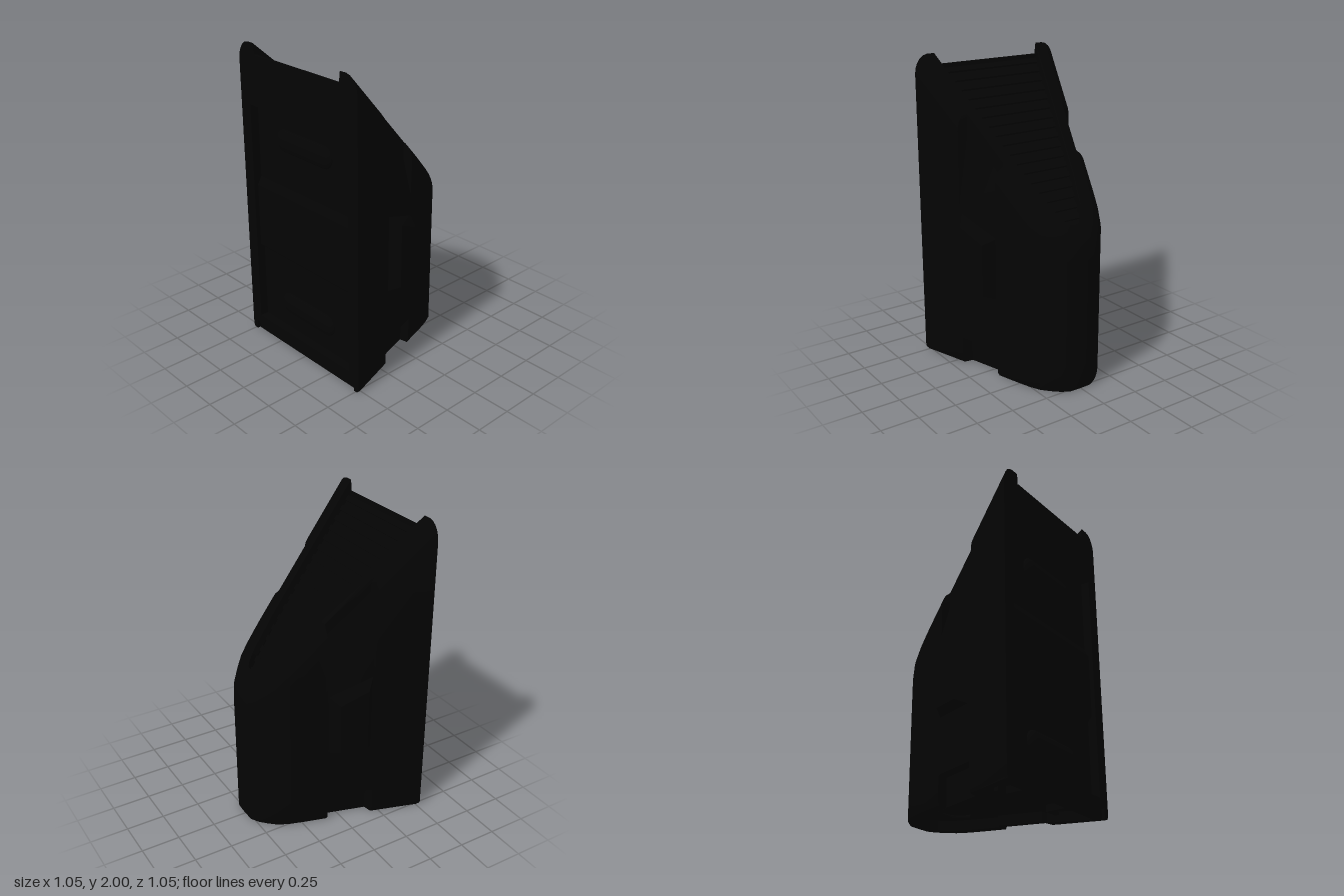
import * as THREE from 'three';
import { toCreasedNormals } from 'three/addons/utils/BufferGeometryUtils.js';
import { ConvexGeometry } from 'three/addons/geometries/ConvexGeometry.js';

const FRONT = 0.527;
// Half footprints [x, z], front corner to back apex: outer wall and inner rim edge.
const OUTER = [[.525, FRONT], [.425, .2], [.422, .19], [.342, -.08], [.339, -.09], [.294, -.24], [.279, -.287],
  [.262, -.335], [.23, -.4], [.182, -.452], [.135, -.495], [.08, -.525], [0, -.527]];
const INNER = [[.378, FRONT], [.28, .2], [.277, .19], [.193, -.08], [.19, -.09], [.155, -.2], [.138, -.24],
  [.118, -.29], [.1, -.34], [.08, -.38], [.06, -.41], [.035, -.43], [0, -.435]];
const LAST = OUTER.length - 1;
const slopeY = z => 1.492 + 0.964 * z;

// Full U-shaped ring at fraction t from outer to inner; the side channel keeps at least fraction tc.
function ring(t, tc = 0) {
  const half = OUTER.map(([x, z], i) => {
    const k = (i === 2 || i === 3) ? Math.max(t, tc) : t;
    return [x + (INNER[i][0] - x) * k, z + (INNER[i][1] - z) * k];
  });
  return half.concat(half.slice(0, LAST).reverse().map(([x, z]) => [-x, z]));
}

// Rows of the shell: [t, channel t, height rule].
const ROWS = [
  [.08, .45, () => 0], [0, .45, () => .02], [0, .42, () => .175], [0, 0, () => .18],
  [0, 0, z => Math.min(1.08, slopeY(z) - .13)],
  ...[[0, .115], [.04, .08], [.11, .053], [.23, .027], [.4, .008], [.6, 0], [.94, 0], [.97, .02], [1, .085]]
    .map(([t, drop]) => [t, .45, z => slopeY(z) - drop]),
];

function shellRows() {
  return ROWS.map(([t, tc, h]) => ring(t, tc).map(([x, z]) => [x, h(z), z]));
}

function shellGeometry(rows) {
  const pos = [], n = rows[0].length;
  for (let i = 0; i < rows.length - 1; i++) {
    for (let j = 0; j < n - 1; j++) {
      const a = rows[i][j], b = rows[i][j + 1], c = rows[i + 1][j + 1], d = rows[i + 1][j];
      pos.push(...a, ...b, ...c, ...a, ...c, ...d);
    }
  }
  const g = new THREE.BufferGeometry();
  g.setAttribute('position', new THREE.Float32BufferAttribute(pos, 3));
  return toCreasedNormals(g, 0.6);
}

const v2 = pts => pts.map(([x, y]) => new THREE.Vector2(x, y));
const rect = (w, y0, y1) => v2([[-w, y0], [w, y0], [w, y1], [-w, y1]]);

function innerHalfWidth(z) {
  for (let i = 0; i < LAST; i++) {
    const [x0, z0] = INNER[i], [x1, z1] = INNER[i + 1];
    if (z <= z0 && z >= z1) return x0 + (x1 - x0) * (z0 - z) / (z0 - z1);
  }
  return 0;
}

export function createModel() {
  const group = new THREE.Group();
  const black = new THREE.MeshStandardMaterial({ color: 0x040404 });
  black.name = 'matte black';
  const add = (name, geometry, x = 0, y = 0, z = 0) => {
    const m = new THREE.Mesh(geometry, black);
    m.name = name;
    m.position.set(x, y, z);
    group.add(m);
    return m;
  };

  // Wall and rounded rim
  const rows = shellRows();
  add('shell', shellGeometry(rows));

  // Front face with an opening for the recessed panel and a shallow notch along the foot
  const right = [[.485, .065], [.485, 0], ...rows.map(r => [r[0][0], r[0][1]])];
  const face = new THREE.Shape(v2([...right, ...right.slice().reverse().map(([x, y]) => [-x, y])]));
  face.holes.push(new THREE.Path(rect(.44, .12, 1.61)));
  add('frontFace', new THREE.ShapeGeometry(face), 0, 0, FRONT);
  add('footNotchTop', new THREE.BoxGeometry(.97, .01, .021), 0, .07, FRONT - .011);
  for (const s of [1, -1]) {
    add('frontFoot', new THREE.BoxGeometry(.027, .066, .021), s * .4985, .033, FRONT - .011);
  }

  const frame = new THREE.Shape(rect(.46, .1, 1.63));
  frame.holes.push(new THREE.Path(rect(.44, .12, 1.61)));
  add('recessFrame', new THREE.ExtrudeGeometry(frame, { depth: .065, bevelEnabled: false }), 0, 0, FRONT - .0655);

  // Recessed front panel with a raised, bevelled middle band
  const profile = new THREE.Shape(v2([[.43, .11], [.47, .11], [.47, .62], [.498, .65], [.498, 1.07],
    [.47, 1.12], [.47, 1.62], [.43, 1.62]]));
  const panel = new THREE.ExtrudeGeometry(profile, { depth: .88, bevelEnabled: false });
  panel.rotateY(-Math.PI / 2);
  add('frontPanel', panel, .44, 0, 0);

  // Rounded grips
  for (const y of [.305, 1.43]) {
    const grip = new THREE.CapsuleGeometry(.072, .356, 8, 20);
    grip.rotateZ(Math.PI / 2);
    grip.scale(1, 1, .45);
    add('grip', grip, 0, y, .47);
  }

  // Sloped panel between the rims
  const slope = new THREE.ShapeGeometry(new THREE.Shape(v2(ring(1).map(([x, z]) => [x, -z]))));
  slope.rotateX(-Math.PI / 2);
  const p = slope.attributes.position;
  for (let i = 0; i < p.count; i++) p.setY(i, slopeY(p.getZ(i)) - .085);
  slope.computeVertexNormals();
  add('slopePanel', slope);

  // Cross ribs on the slope
  for (let i = 0; i < 18; i++) {
    const z = .49 - i * .0525;
    const rib = add('rib', new THREE.BoxGeometry(2 * innerHalfWidth(z) + .005, .02, .035), 0, slopeY(z) - .077, z);
    rib.rotation.x = -Math.atan(.964);
  }
  add('frontLip', new THREE.BoxGeometry(.75, .03, .016), 0, 1.915, FRONT - .008);

  // Side lugs
  for (const s of [1, -1]) {
    const pts = [];
    const corners = [[.33, -.09, .53, .94], [.41, .19, .53, 1.05], [.42, -.05, .56, .9], [.47, .12, .56, .98]];
    for (const [x, z, y0, y1] of corners) {
      pts.push(new THREE.Vector3(s * x, y0, z), new THREE.Vector3(s * x, y1, z));
    }
    add(s > 0 ? 'leftLug' : 'rightLug', new ConvexGeometry(pts));
  }

  // Shallow hollow underside
  const opening = ring(.5, .75).map(([x, z]) => [x, Math.min(z, .46)]);
  const base = new THREE.Shape(v2(ring(.08, .48).map(([x, z]) => [x, -Math.min(z, FRONT - .02)])));
  base.holes.push(new THREE.Path(v2(opening.map(([x, z]) => [x, -z]))));
  const baseGeo = new THREE.ExtrudeGeometry(base, { depth: .065, bevelEnabled: false });
  baseGeo.rotateX(-Math.PI / 2);
  add('baseFrame', baseGeo);
  const ceiling = new THREE.ShapeGeometry(new THREE.Shape(v2(ring(.45, .6).map(([x, z]) => [x, Math.min(z, .48)]))));
  ceiling.rotateX(Math.PI / 2);
  add('cavityCeiling', ceiling, 0, .064, 0);

  // Stiffeners inside the cavity
  const arc = new THREE.TorusGeometry(.12, .015, 6, 20, Math.PI);
  arc.rotateX(-Math.PI / 2);
  add('cavityArc', arc, 0, .055, -.2);
  for (const s of [1, -1]) {
    add('cavityRib', new THREE.BoxGeometry(.1, .045, .025), s * .26, .043, .3);
    add('cavityRib', new THREE.BoxGeometry(.025, .045, .12), s * .22, .043, .36);
  }
  return group;
}
